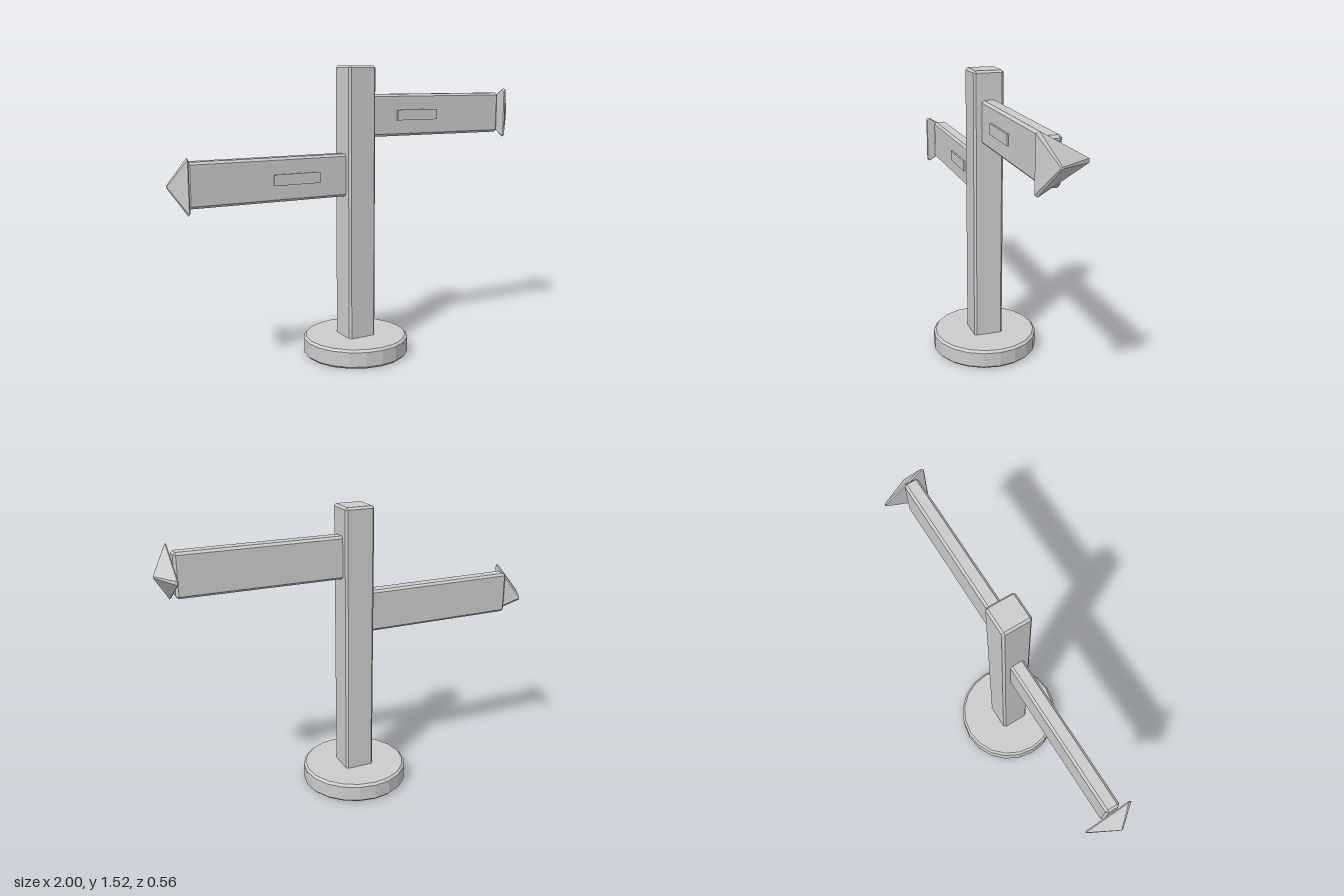
import * as THREE from 'three';
import { ConvexGeometry } from 'three/addons/geometries/ConvexGeometry.js';

const material = new THREE.MeshStandardMaterial({ color: 0xcccccc, flatShading: true });

function part(name, geometry, x = 0, y = 0, z = 0) {
  const mesh = new THREE.Mesh(geometry, material);
  mesh.name = name;
  mesh.position.set(x, y, z);
  return mesh;
}

// Box with every edge cut by a single flat chamfer c
function chamferBox(w, h, d, c) {
  const points = [];
  for (const sx of [-1, 1]) for (const sy of [-1, 1]) for (const sz of [-1, 1]) {
    for (let full = 0; full < 3; full++) {
      const p = [w, h, d].map((size, i) => size / 2 - (i === full ? 0 : c));
      points.push(new THREE.Vector3(sx * p[0], sy * p[1], sz * p[2]));
    }
  }
  return new ConvexGeometry(points);
}

// Three-sided cone along x with blunted edges; one corner points to the back
function arrowHead(side) {
  const points = [];
  const rings = [[0, 0.145, 0.008], [0.006, 0.152, 0.009], [0.084, 0.004, 0.004]];
  for (const [x, radius, half] of rings) {
    for (let i = 0; i < 3; i++) {
      const a = Math.PI + i * Math.PI * 2 / 3;
      for (const s of [-half, half]) {
        points.push(new THREE.Vector3(
          side * x,
          radius * Math.sin(a) + s * Math.cos(a),
          radius * Math.cos(a) - s * Math.sin(a)
        ));
      }
    }
  }
  return new ConvexGeometry(points);
}

// Board, raised plate and arrow head reaching out to one side
function sign(name, side, y) {
  const group = new THREE.Group();
  group.name = name;
  group.position.y = y;
  group.add(
    part('board', chamferBox(0.87, 0.22, 0.076, 0.012), side * 0.475),
    part('plate', new THREE.BoxGeometry(0.25, 0.055, 0.02), side * 0.355, 0, 0.037),
    part('arrowHead', arrowHead(side), side * 0.916)
  );
  return group;
}

export function createModel() {
  const model = new THREE.Group();
  model.name = 'signpost';

  // Round foot with chamfered rims
  const profile = [[0, 0], [0.268, 0], [0.28, 0.012], [0.28, 0.089], [0.268, 0.101], [0, 0.101]]
    .map(([r, y]) => new THREE.Vector2(r, y));
  model.add(part('base', new THREE.LatheGeometry(profile, 20)));

  // Square post
  model.add(part('post', chamferBox(0.156, 1.465, 0.156, 0.011), 0, 0.7925));

  model.add(sign('upperSign', 1, 1.27), sign('lowerSign', -1, 0.97));
  return model;
}
